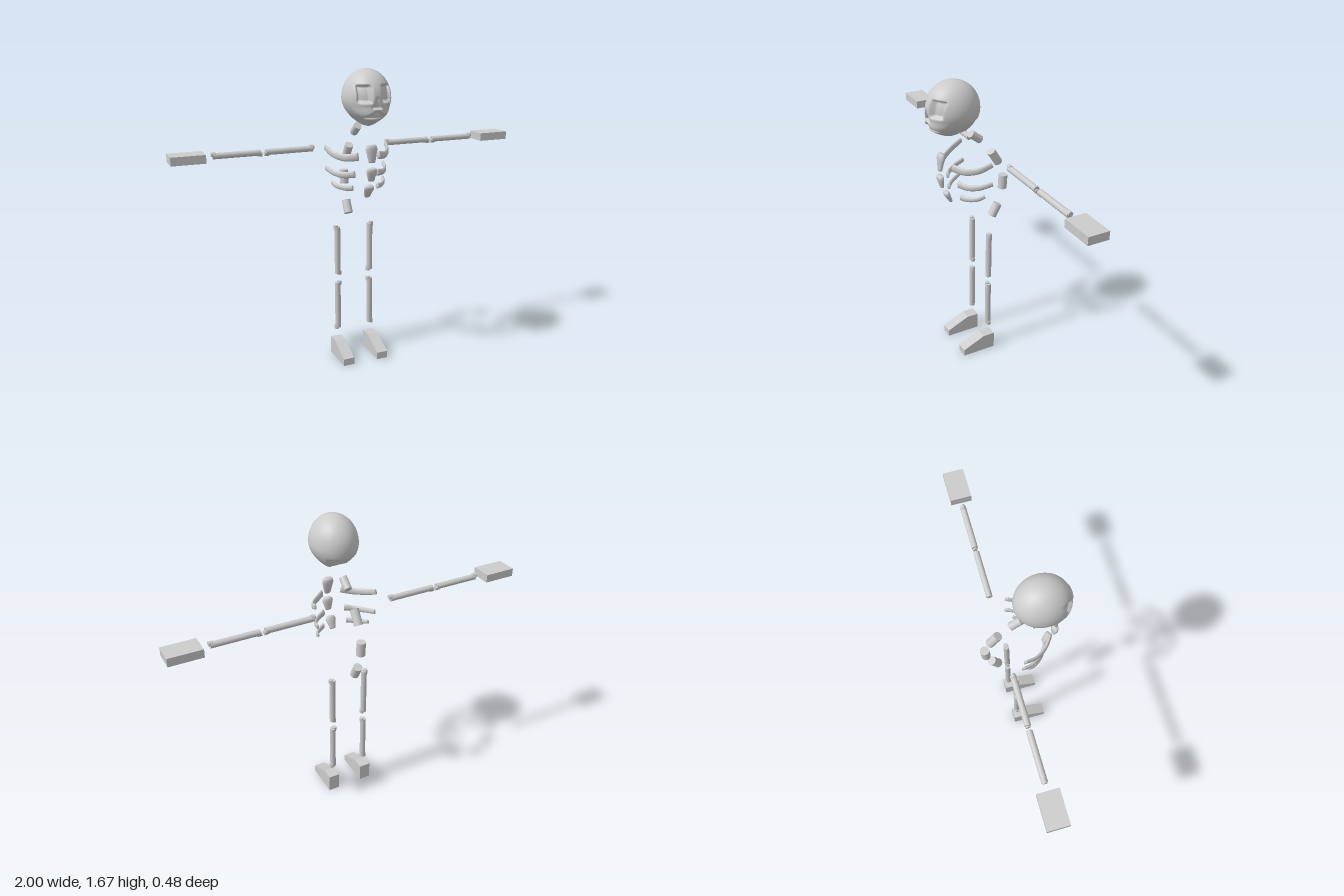
import * as THREE from 'three';

const material = new THREE.MeshStandardMaterial({ color: 0xcccccc });
const V = (x, y, z) => new THREE.Vector3(x, y, z);
const { smoothstep, lerp } = THREE.MathUtils;

function part(name, geometry, parent) {
  const mesh = new THREE.Mesh(geometry, material);
  mesh.name = name;
  parent.add(mesh);
  return mesh;
}

// Turn a mesh modelled along +y so that it runs from a to b
function align(mesh, a, b) {
  mesh.position.copy(a).lerp(b, 0.5);
  mesh.quaternion.setFromUnitVectors(V(0, 1, 0), b.clone().sub(a).normalize());
  return mesh;
}

// Soft rectangular mask, 1 inside and 0 outside
function boxMask(x, y, cx, cy, hx, hy, soft = 0.008) {
  return (1 - smoothstep(Math.abs(x - cx), hx - soft, hx + soft)) *
         (1 - smoothstep(Math.abs(y - cy), hy - soft, hy + soft));
}

// Height of the underside of the skull at depth z
function skullFloor(z) {
  const pts = [[-0.2, 1.48], [0, 1.473], [0.035, 1.42], [0.045, 1.405],
    [0.08, 1.405], [0.1, 1.39], [0.13, 1.37], [0.3, 1.37]];
  const i = Math.max(1, pts.findIndex(p => p[0] >= z));
  const [a, b] = [pts[i - 1], pts[i]];
  return lerp(a[1], b[1], (z - a[0]) / (b[0] - a[0]));
}

// Skull: a sphere narrowed to the chin, cut underneath, with pressed-in face
function skullGeometry() {
  const geo = new THREE.SphereGeometry(1, 128, 88);
  const p = geo.attributes.position;
  for (let i = 0; i < p.count; i++) {
    const X = p.getX(i), Y = p.getY(i), Z = p.getZ(i);
    const low = Math.min(0, Y);
    const x = X * 0.127 * (1 - 0.4 * low * low);
    let y = 1.52 + 0.149 * Y;
    let z = 0.094 + 0.146 * Z;
    if (Z > 0) {
      const front = smoothstep(Z, 0.2, 0.5);
      z += 0.022 * front * boxMask(x, y, 0, 1.435, 0.12, 0.025, 0.03);
      const ax = Math.abs(x);
      // Eye sockets
      z -= 0.028 * front * boxMask(ax, y, 0.06, 1.549, 0.029, 0.041);
      // Nose opening, a narrow upright triangle
      const noseHalf = 0.022 * (1.535 - y) / 0.05;
      if (y > 1.478 && y < 1.535) z -= 0.018 * (1 - smoothstep(ax, noseHalf - 0.005, noseHalf + 0.005));
      // Mouth, a wide low triangle
      const roof = 1.468 - ax * 0.6;
      z -= 0.016 * front * smoothstep(y, 1.42, 1.43) * (1 - smoothstep(y, roof - 0.008, roof + 0.004)) *
           (1 - smoothstep(ax, 0.055, 0.07));
    }
    y = Math.max(y, skullFloor(z));
    p.setXYZ(i, x, y, z);
  }
  geo.computeVertexNormals();
  return geo;
}

// Long bone from a to b with a small lip at each end
function limbBone(name, a, b, lipA, lipB, parent) {
  const group = new THREE.Group();
  group.name = name;
  const length = a.distanceTo(b), dir = b.clone().sub(a).normalize();
  align(part('shaft', new THREE.CylinderGeometry(0.0165, 0.0165, length, 16), group), a, b);
  for (const [end, lip, s] of [[a, lipA, 1], [b, lipB, -1]]) {
    const start = end.clone().addScaledVector(lip, 0.009).addScaledVector(dir, -s * 0.008);
    const stop = start.clone().addScaledVector(dir, s * 0.024);
    align(part('endLip', new THREE.CylinderGeometry(0.0125, 0.0125, 0.024, 12), group), start, stop);
  }
  parent.add(group);
}

// Flat curved band: an oval section, height h and thickness t, swept along a curve
function ribGeometry(points, h, t) {
  const curve = new THREE.CatmullRomCurve3(points);
  const steps = 20, sides = 12, pos = [], idx = [];
  for (let i = 0; i <= steps; i++) {
    const u = i / steps, c = curve.getPoint(u), d = curve.getTangent(u);
    const out = V(-d.z, 0, d.x).normalize();
    const up = d.clone().cross(out).normalize();
    if (up.y < 0) up.negate();
    const size = lerp(1, 0.72, u);
    for (let j = 0; j < sides; j++) {
      const a = j / sides * Math.PI * 2;
      const q = c.clone().addScaledVector(out, Math.cos(a) * t / 2 * size)
        .addScaledVector(up, Math.sin(a) * h / 2 * size);
      pos.push(q.x, q.y, q.z);
    }
  }
  for (let i = 0; i < steps; i++) for (let j = 0; j < sides; j++) {
    const k = (j + 1) % sides, a = i * sides + j, b = i * sides + k;
    idx.push(a, b, a + sides, b, b + sides, a + sides);
  }
  // End caps
  const last = steps * sides;
  for (let j = 1; j < sides - 1; j++) {
    idx.push(0, j + 1, j, last, last + j, last + j + 1);
  }
  // Make the winding face outward whichever side the rib is on
  const a = V().fromArray(pos, 0), b = V().fromArray(pos, 3), c = V().fromArray(pos, 3 * sides);
  const normal = b.sub(a).cross(c.sub(a));
  if (normal.dot(a.sub(curve.getPoint(0))) < 0) idx.reverse();
  const geo = new THREE.BufferGeometry();
  geo.setAttribute('position', new THREE.Float32BufferAttribute(pos, 3));
  geo.setIndex(idx);
  geo.computeVertexNormals();
  return geo;
}

// Foot: a wedge side profile given width
function footGeometry() {
  const s = new THREE.Shape([[-0.1, 0], [0.1, 0], [0.1, 0.04], [-0.03, 0.1], [-0.1, 0.1]]
    .map(q => new THREE.Vector2(...q)));
  return new THREE.ExtrudeGeometry(s, { depth: 0.064, bevelEnabled: false })
    .translate(0, 0, -0.032).rotateY(-Math.PI / 2);
}

export function createModel() {
  const model = new THREE.Group();
  model.name = 'skeleton';
  part('skull', skullGeometry(), model);

  // Spine, four separate vertebrae along a curved back
  const spine = [
    [1.358, -0.012, 1.314, -0.068, 0.022], [1.232, -0.135, 1.158, -0.182, 0.024],
    [1.075, -0.214, 0.995, -0.21, 0.025], [0.9, -0.183, 0.832, -0.147, 0.025]];
  for (const [y0, z0, y1, z1, r] of spine) {
    const a = V(0, y1, z1), b = V(0, y0, z0);
    align(part('vertebra', new THREE.CylinderGeometry(r, r, a.distanceTo(b), 20), model), a, b);
  }

  // Breastbone, three tapered plates
  const plates = [
    [1.28, 0.162, 1.185, 0.171, 0.033], [1.157, 0.172, 1.085, 0.161, 0.031], [1.055, 0.142, 0.988, 0.109, 0.029]];
  for (const [y0, z0, y1, z1, w] of plates) {
    const a = V(0, y1, z1), b = V(0, y0, z0), h = a.distanceTo(b);
    const profile = [[0, -0.5], [0.5, -0.49], [0.62, -0.4], [0.82, -0.05], [1, 0.2], [0.95, 0.38], [0.72, 0.49], [0, 0.5]]
      .map(([r, y]) => new THREE.Vector2(r * w, y * h));
    align(part('breastbone', new THREE.LatheGeometry(profile, 24), model), a, b).scale.z = 0.55;
  }

  for (const side of [1, -1]) {
    const tag = side > 0 ? 'left' : 'right';
    const P = (x, y, z) => V(side * x, y, z);
    const up = V(0, 1, 0), down = V(0, -1, 0), outer = P(1, 0, 0), inner = P(-1, 0, 0);

    // Ribs, from the breastbone round to the back
    const ribs = [
      [[0.058, 1.215, 0.125], [0.115, 1.206, 0.085], [0.16, 1.218, 0.025], [0.18, 1.247, -0.045], 0.044],
      [[0.064, 1.114, 0.095], [0.115, 1.108, 0.062], [0.153, 1.114, 0.01], [0.172, 1.13, -0.053], 0.038],
      [[0.072, 1.037, 0.085], [0.105, 1.035, 0.062], [0.14, 1.042, 0.02], [0.153, 1.055, -0.018], 0.032]];
    for (const [a, b, c, d, h] of ribs) {
      part(tag + 'Rib', ribGeometry([P(...a), P(...b), P(...c), P(...d)], h, 0.02), model);
    }

    // Arm and hand
    limbBone(tag + 'UpperArm', P(0.225, 1.23, -0.12), P(0.49, 1.23, -0.12), up, down, model);
    limbBone(tag + 'Forearm', P(0.518, 1.23, -0.12), P(0.775, 1.23, -0.12), down, up, model);
    part(tag + 'Hand', new THREE.BoxGeometry(0.18, 0.045, 0.115), model).position.copy(P(0.91, 1.229, -0.118));

    // Leg and foot
    limbBone(tag + 'Thigh', P(0.1, 0.78, -0.075), P(0.1, 0.5, -0.075), outer, inner, model);
    limbBone(tag + 'Shin', P(0.1, 0.445, -0.075), P(0.1, 0.165, -0.075), inner, outer, model);
    part(tag + 'Foot', footGeometry(), model).position.copy(P(0.105, 0, 0));
  }
  return model;
}
